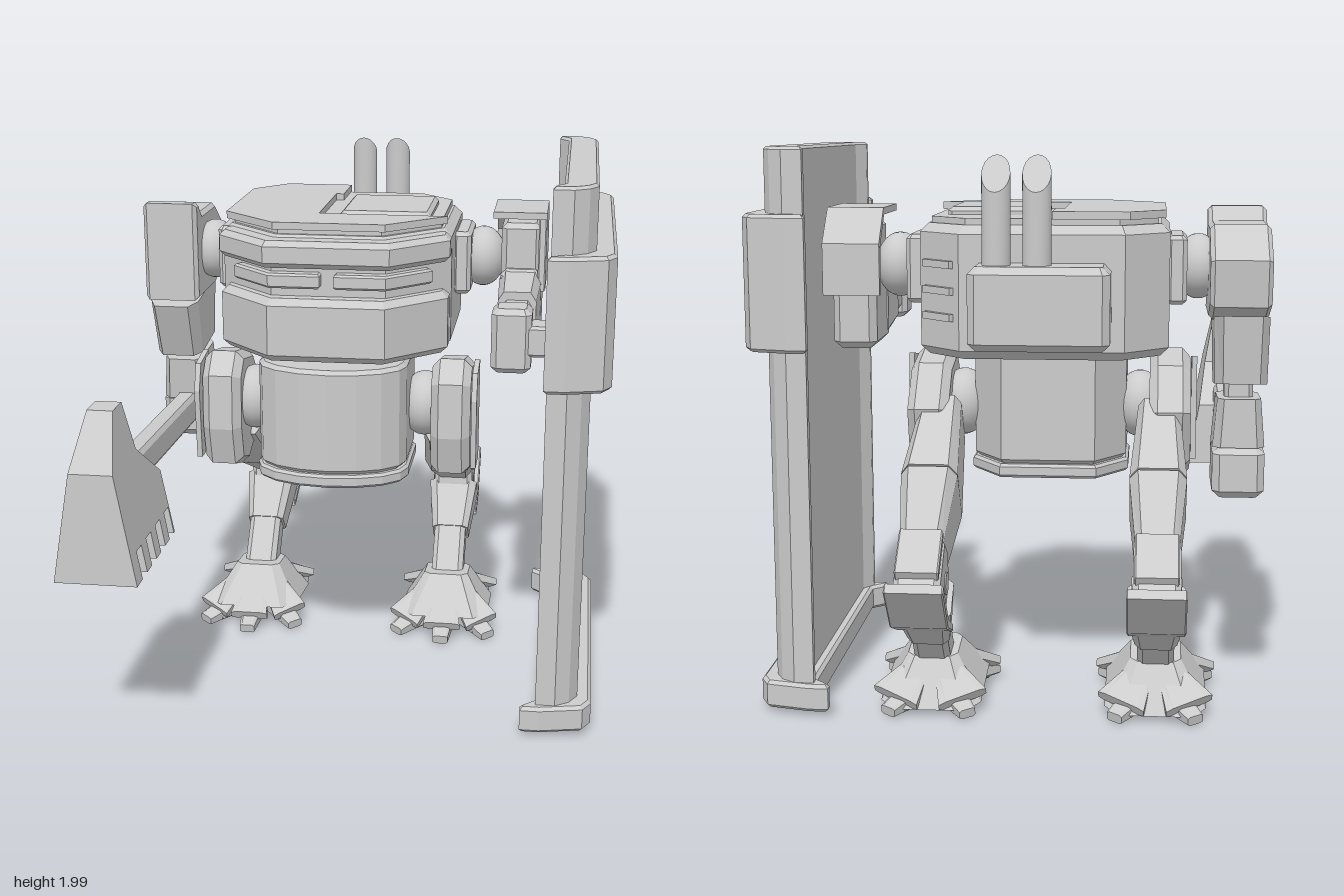
import * as THREE from 'three';

const flat = new THREE.MeshStandardMaterial({ color: 0xcccccc, flatShading: true, side: THREE.DoubleSide });
const smooth = new THREE.MeshStandardMaterial({ color: 0xcccccc });
const CX = -0.105; // centre line of the walker's body

function add(parent, name, geo, mat = flat) {
  const m = new THREE.Mesh(geo, mat);
  m.name = name;
  parent.add(m);
  return m;
}
function group(parent, name) {
  const g = new THREE.Group();
  g.name = name;
  parent.add(g);
  return g;
}
const shapeOf = (pts) => new THREE.Shape(pts.map(([a, b]) => new THREE.Vector2(a, b)));
function extrude(shape, depth, bevel) {
  return new THREE.ExtrudeGeometry(shape, {
    depth: depth - 2 * bevel, bevelEnabled: bevel > 0, bevelSize: bevel, bevelOffset: -bevel,
    bevelThickness: bevel, bevelSegments: 1,
  }).translate(0, 0, bevel);
}
// Upright prism from an outline given as [x, z]
function prism(parent, name, pts, y0, y1, bevel = 0) {
  const geo = extrude(shapeOf(pts.map(([x, z]) => [x, -z])), y1 - y0, bevel).rotateX(-Math.PI / 2);
  return add(parent, name, geo.translate(0, y0, 0));
}
// Sideways prism from a profile given as [z, y], spanning x0..x1
function slab(parent, name, pts, x0, x1, bevel = 0) {
  const geo = extrude(shapeOf(pts.map(([z, y]) => [-z, y])), x1 - x0, bevel).rotateY(Math.PI / 2);
  return add(parent, name, geo.translate(x0, 0, 0));
}
// Octagon in x/z with separate back and front corner cuts
function chamfered(cx, hw, zb, zf, cb, cf) {
  return [[cx - hw, zb + cb], [cx - hw + cb, zb], [cx + hw - cb, zb], [cx + hw, zb + cb],
    [cx + hw, zf - cf], [cx + hw - cf, zf], [cx - hw + cf, zf], [cx - hw, zf - cf]];
}
// Box given by its limits, edges bevelled
function block(parent, name, x0, x1, y0, y1, z0, z1, bevel = 0.015) {
  return prism(parent, name, chamfered((x0 + x1) / 2, (x1 - x0) / 2, z0, z1, bevel, bevel), y0, y1, bevel);
}
// Tapered chamfered bar from a to b: w is its size along x, d its depth
function limb(parent, name, a, b, w0, d0, w1, d1) {
  const A = new THREE.Vector3(...a), B = new THREE.Vector3(...b);
  const geo = extrude(shapeOf(chamfered(0, 0.5, -0.5, 0.5, 0.15, 0.15)), 1, 0);
  const p = geo.attributes.position;
  for (let i = 0; i < p.count; i++) {
    const t = p.getZ(i);
    p.setXYZ(i, p.getX(i) * (d0 + (d1 - d0) * t), p.getY(i) * (w0 + (w1 - w0) * t), t * A.distanceTo(B));
  }
  const m = new THREE.Mesh(geo, flat);
  m.name = name;
  m.up.set(1, 0, 0);
  m.position.copy(A);
  m.lookAt(B);
  parent.add(m);
}
function ball(parent, name, r, x, y, z, sx) {
  const m = add(parent, name, new THREE.SphereGeometry(r, 20, 14), smooth);
  m.position.set(x, y, z);
  m.scale.x = sx;
}

function buildTorso(root) {
  const g = group(root, 'torso');
  prism(g, 'hull', chamfered(CX, 0.43, -0.68, 0.19, 0.15, 0.22), 1.28, 1.735, 0.03);
  prism(g, 'chin', chamfered(CX, 0.425, -0.04, 0.26, 0.02, 0.21), 1.28, 1.515, 0.025);
  prism(g, 'brow', chamfered(CX, 0.43, -0.04, 0.25, 0.02, 0.2), 1.625, 1.725, 0.02);
  prism(g, 'roofNeck', chamfered(CX, 0.39, -0.65, 0.15, 0.13, 0.2), 1.72, 1.757);
  // Roof plate cut away around the hatch
  prism(g, 'roofPlate', [[-0.14, -0.67], [-0.4, -0.67], [-0.52, -0.53], [-0.52, -0.02], [-0.31, 0.18],
    [0.1, 0.18], [0.31, -0.02], [-0.17, -0.02], [-0.17, -0.45], [-0.14, -0.45]], 1.755, 1.782);
  block(g, 'hatch', -0.1, 0.24, 1.73, 1.785, -0.44, -0.06, 0.015);
  for (const s of [-1, 1]) {
    // Visor lenses wrap around the front corners
    const lens = [[0.025, 0.235], [0.215, 0.235], [0.37, 0.08], [0.33, 0.03], [0.2, 0.15], [0.025, 0.15]];
    prism(g, 'visorLens', lens.map(([x, z]) => [CX + s * x, z]), 1.55, 1.605, 0.008);
    const x = CX + s * 0.455;
    block(g, 'shoulderMount', x - 0.035, x + 0.035, 1.45, 1.69, -0.47, -0.19);
    ball(g, 'shoulderJoint', 0.115, CX + s * 0.53, 1.575, -0.33, 0.75);
  }
  for (const y of [1.42, 1.51, 1.6]) {
    const v = add(g, 'vent', new THREE.BoxGeometry(0.15, 0.025, 0.02));
    v.position.set(CX + 0.36, y, -0.61);
    v.rotation.y = -Math.PI / 4;
  }
  // Rear engine box and slash-cut exhausts
  block(g, 'engineBox', -0.34, 0.13, 1.33, 1.61, -0.85, -0.6, 0.025);
  for (const x of [-0.095, 0.04]) {
    const geo = new THREE.CylinderGeometry(0.048, 0.048, 0.4, 20);
    const p = geo.attributes.position;
    for (let i = 0; i < p.count; i++) if (p.getY(i) > 0) p.setY(i, 0.2 + p.getZ(i) * 1.25);
    geo.computeVertexNormals();
    add(g, 'exhaust', geo, smooth).position.set(x, 1.71, -0.755);
  }
}

function buildPelvis(root) {
  const g = group(root, 'pelvis');
  add(g, 'waist', new THREE.CylinderGeometry(0.1, 0.1, 0.1, 16)).position.set(CX, 1.26, -0.05);
  const outline = [[-0.28, -0.18], [-0.17, -0.34], [0.17, -0.34], [0.28, -0.18]];
  for (let i = 0; i <= 8; i++) {
    const a = (i / 8) * Math.PI;
    outline.push([0.28 * Math.cos(a), 0.09 + 0.165 * Math.sin(a)]);
  }
  const sized = (k) => outline.map(([x, z]) => [CX + x * k, z * k]);
  prism(g, 'hipBlock', sized(1), 0.85, 1.25, 0.015);
  prism(g, 'hipRim', sized(1.03), 0.8, 0.85, 0.01);
}

// One reverse-jointed leg; s is the outward direction along x
function buildLeg(root, s) {
  const g = group(root, s < 0 ? 'rightLeg' : 'leftLeg');
  g.position.x = CX + s * 0.4;
  ball(g, 'hipJoint', 0.125, -s * 0.07, 1.04, -0.1, 0.75);
  slab(g, 'thighArmor', [[-0.02, 1.24], [-0.22, 1.2], [-0.36, 1.05], [-0.3, 0.84], [-0.1, 0.76], [0.03, 0.8], [0.07, 0.95], [0.06, 1.16]],
    s * 0.04 - 0.075, s * 0.04 + 0.075, 0.03);
  slab(g, 'thighPlate', [[-0.1, 1.22], [0.03, 1.2], [0.07, 1.1], [0.05, 0.83], [-0.1, 0.83]], s * 0.13 - 0.01, s * 0.13 + 0.01);
  limb(g, 'upperThigh', [0, 0.98, -0.2], [0, 0.77, -0.52], 0.15, 0.26, 0.2, 0.31);
  limb(g, 'lowerThigh', [0, 0.77, -0.52], [0, 0.58, -0.78], 0.2, 0.31, 0.14, 0.18);
  // Hock with its guard plates
  slab(g, 'hock', [[-0.79, 0.69], [-0.93, 0.56], [-0.87, 0.42], [-0.74, 0.35], [-0.66, 0.4], [-0.69, 0.62]], -0.08, 0.08, 0.02);
  slab(g, 'hockGuard', [[-0.975, 0.575], [-1, 0.55], [-0.87, 0.39], [-0.74, 0.34], [-0.74, 0.37], [-0.85, 0.42]], -0.1, 0.1, 0.005);
  slab(g, 'hockCap', [[-0.79, 0.715], [-0.925, 0.6], [-0.91, 0.57], [-0.77, 0.69]], -0.075, 0.075, 0.005);
  const pin = add(g, 'hockPin', new THREE.CylinderGeometry(0.04, 0.04, 0.17, 16), smooth);
  pin.rotation.z = Math.PI / 2;
  pin.position.set(0, 0.52, -0.77);
  limb(g, 'shin', [0, 0.46, -0.75], [0, 0.31, -0.6], 0.2, 0.17, 0.15, 0.14);
  limb(g, 'ankle', [0, 0.33, -0.61], [0, 0.15, -0.46], 0.13, 0.12, 0.13, 0.12);
  // Foot: sloped skirt with broad splayed toes, three forward and two back
  const foot = group(g, 'foot');
  limb(foot, 'instep', [0, 0.055, -0.44], [0, 0.2, -0.46], 0.36, 0.46, 0.18, 0.2);
  for (const [x, z, w] of [[-0.16, -0.24, 0.14], [0, -0.18, 0.15], [0.16, -0.24, 0.14], [-0.12, -0.65, 0.18], [0.12, -0.65, 0.18]]) {
    const at = (t, y) => [x * t, y, -0.45 + (z + 0.45) * t];
    limb(foot, 'toePlate', at(0.4, 0.14), at(1, 0.06), 0.09, 0.05, w, 0.04);
    limb(foot, 'claw', at(0.8, 0.04), at(1.18, 0.022), 0.08, 0.06, 0.06, 0.035);
    limb(foot, 'sole', at(0.2, 0.035), at(0.95, 0.035), 0.07, 0.06, 0.07, 0.06);
  }
}

function buildHammerArm(root) {
  const g = group(root, 'rightArm');
  slab(g, 'shoulderArmor', [[-0.15, 1.78], [-0.2, 1.78], [-0.25, 1.73], [-0.48, 1.73], [-0.64, 1.62], [-0.62, 1.46], [-0.46, 1.4], [-0.15, 1.4]],
    -0.88, -0.67, 0.015);
  limb(g, 'upperArm', [-0.785, 1.4, -0.38], [-0.785, 1.17, -0.41], 0.19, 0.44, 0.18, 0.32);
  limb(g, 'elbow', [-0.78, 1.2, -0.42], [-0.78, 1.1, -0.42], 0.1, 0.14, 0.1, 0.14);
  limb(g, 'forearm', [-0.78, 1.13, -0.43], [-0.78, 0.96, -0.44], 0.15, 0.28, 0.18, 0.26);
  block(g, 'fist', -0.87, -0.69, 0.79, 0.97, -0.58, -0.32, 0.025);
  limb(g, 'handle', [-0.77, 0.91, -0.5], [-0.77, 0.95, 0.56], 0.08, 0.12, 0.08, 0.12);
  // Wedge-shaped hammer head with a notched striking edge
  const pts = [[0.75, 1.26], [0.855, 1.26], [0.995, 1.08], [1, 0.69]];
  for (let i = 0; i < 4; i++) {
    const z = 0.93 - i * 0.122;
    pts.push([z, 0.69], [z, 0.79], [z - 0.06, 0.79], [z - 0.06, 0.69]);
  }
  pts.push([0.49, 0.69], [0.5, 0.93], [0.71, 1.08]);
  const head = slab(g, 'hammerHead', pts, -0.5, 0.5);
  const p = head.geometry.attributes.position;
  for (let i = 0; i < p.count; i++) p.setX(i, p.getX(i) * (0.29 - 0.2 * (p.getY(i) - 0.69) / 0.57));
  head.position.x = -0.775;
}

function buildShieldArm(root) {
  const g = group(root, 'leftArm');
  block(g, 'shoulderCore', 0.5, 0.65, 1.46, 1.73, -0.4, -0.18, 0.02);
  slab(g, 'shoulderArmor', [[-0.14, 1.78], [-0.42, 1.78], [-0.53, 1.66], [-0.53, 1.48], [-0.5, 1.48], [-0.5, 1.65], [-0.41, 1.755], [-0.14, 1.755]], 0.47, 0.67);
  slab(g, 'shoulderSide', [[-0.15, 1.76], [-0.41, 1.76], [-0.5, 1.65], [-0.5, 1.48], [-0.15, 1.48]], 0.64, 0.67, 0.005);
  block(g, 'elbow', 0.5, 0.655, 1.28, 1.56, -0.44, -0.14, 0.025);
  limb(g, 'upperForearm', [0.575, 1.42, -0.2], [0.575, 1.42, 0.09], 0.16, 0.27, 0.14, 0.22);
  limb(g, 'wrist', [0.575, 1.42, 0.08], [0.575, 1.42, 0.3], 0.11, 0.16, 0.11, 0.16);
  block(g, 'fist', 0.5, 0.64, 1.31, 1.54, 0.27, 0.41, 0.02);
  block(g, 'grip', 0.62, 0.76, 1.37, 1.48, 0.28, 0.4, 0.01);
}

function buildShield(root) {
  const g = group(root, 'shield');
  // Channel section: flat outside, ends curled inwards
  const section = (lip, inner, out, z0, z1) => [
    [lip, z0], [lip + 0.07, z0], [out - 0.03, z0 + 0.035], [out, z0 + 0.09],
    [out, z1 - 0.09], [out - 0.03, z1 - 0.035], [lip + 0.07, z1], [lip, z1],
    [lip, z1 - 0.03], [inner, z1 - 0.08],
    [inner, z0 + 0.08], [lip, z0 + 0.03]];
  prism(g, 'shieldPlate', section(0.7, 0.735, 0.85, -0.69, 0.565), 0.06, 1.995, 0.01);
  prism(g, 'shieldBand', section(0.69, 0.79, 0.92, -0.73, 0.61), 1.3, 1.77, 0.012);
  prism(g, 'shieldFoot', section(0.645, 0.7, 0.9, -0.715, 0.595), 0.02, 0.12, 0.012);
}

export function createModel() {
  const root = new THREE.Group();
  root.name = 'walker';
  buildTorso(root);
  buildPelvis(root);
  for (const s of [-1, 1]) buildLeg(root, s);
  buildHammerArm(root);
  buildShieldArm(root);
  buildShield(root);
  return root;
}
